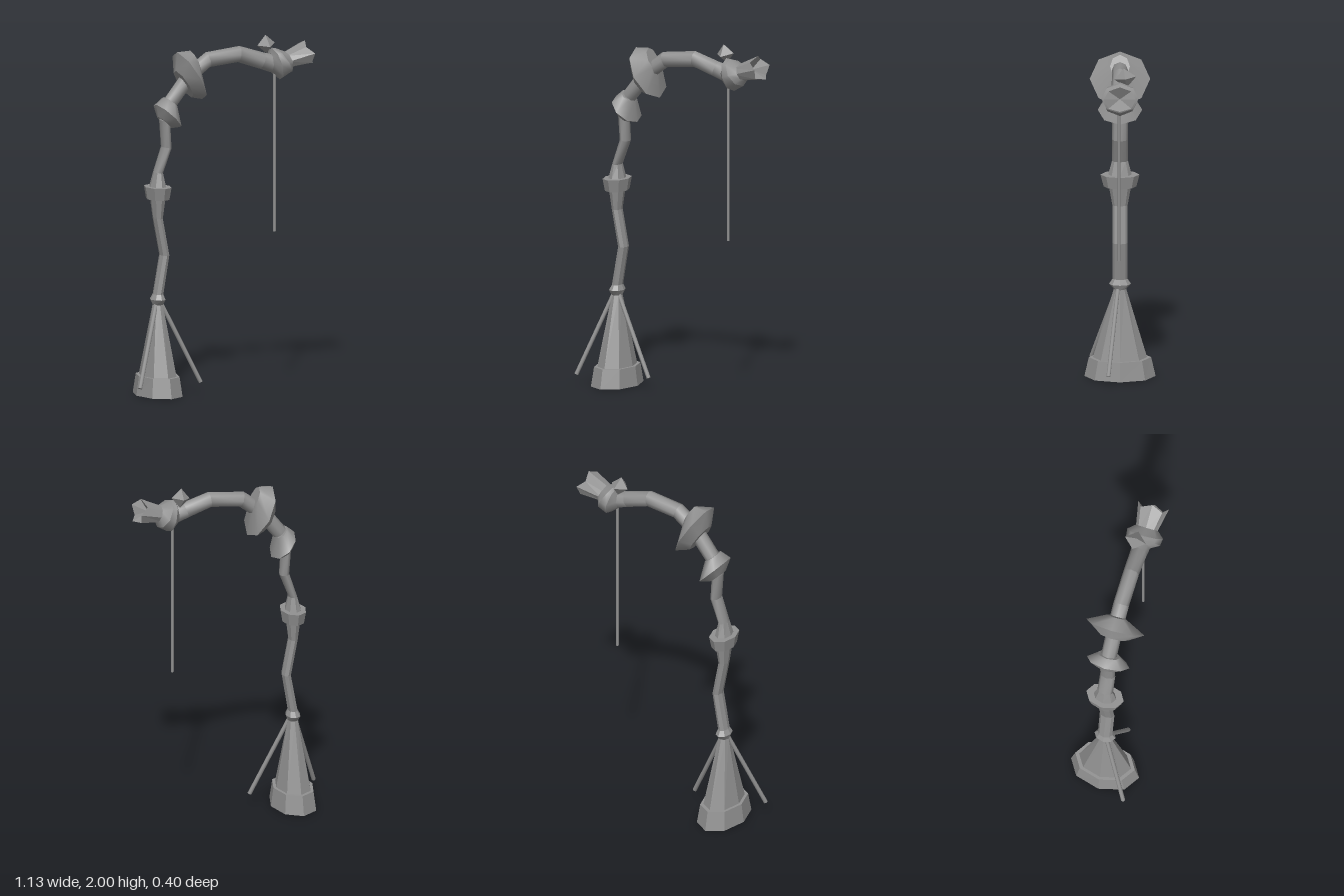
import * as THREE from 'three';

const COLOR = 0x919191;
const flat = new THREE.MeshStandardMaterial({ color: COLOR, flatShading: true, side: THREE.DoubleSide });
const smooth = new THREE.MeshStandardMaterial({ color: COLOR, side: THREE.DoubleSide });
const SIDES = 8;

// Skins eight-sided rings: [x, y, axis angle in degrees, half width in the xy plane, half depth in z].
// shift(ring, side) can push a corner along the ring's axis.
function loft(name, rings, material = flat, shift = () => 0) {
  const pos = [], index = [];
  rings.forEach(([x, y, deg, h, w], i) => {
    const a = THREE.MathUtils.degToRad(deg), c = Math.cos(a), s = Math.sin(a);
    for (let j = 0; j < SIDES; j++) {
      const t = (j / SIDES) * Math.PI * 2, u = h * Math.cos(t), d = shift(i, j);
      pos.push(x + s * u + c * d, y - c * u + s * d, w * Math.sin(t));
      if (i === rings.length - 1) continue;
      const k = (j + 1) % SIDES, p = i * SIDES + j, q = i * SIDES + k;
      index.push(p, p + SIDES, q, q, p + SIDES, q + SIDES);
    }
  });
  const g = new THREE.BufferGeometry();
  g.setAttribute('position', new THREE.Float32BufferAttribute(pos, 3));
  g.setIndex(index);
  g.computeVertexNormals();
  const mesh = new THREE.Mesh(g, material);
  mesh.name = name;
  return mesh;
}

// Smooth around its axis, with a crease at every ring (each ring is doubled)
const roundLoft = (name, rings) => loft(name, rings.flatMap((r) => [r, r]), smooth);

// Straight thin rod between two points
function rod(name, from, to, r) {
  const a = new THREE.Vector3(...from), b = new THREE.Vector3(...to);
  const dir = b.clone().sub(a);
  const mesh = new THREE.Mesh(new THREE.CylinderGeometry(r, r, dir.length(), SIDES), smooth);
  mesh.position.copy(a).add(b).multiplyScalar(0.5);
  mesh.quaternion.setFromUnitVectors(new THREE.Vector3(0, 1, 0), dir.normalize());
  mesh.name = name;
  return mesh;
}

export function createModel() {
  const model = new THREE.Group();
  model.name = 'archedStaff';

  // Hollow flared foot with a stepped rim and a small knot on top
  model.add(loft('flaredBase', [
    [-0.385, 0.11, 90, 0.1, 0.15],
    [-0.385, 0.0, 90, 0.11, 0.172],
    [-0.385, 0.0, 90, 0.13, 0.2],
    [-0.385, 0.11, 90, 0.115, 0.175],
    [-0.385, 0.11, 90, 0.098, 0.152],
    [-0.385, 0.51, 90, 0.03, 0.035],
    [-0.385, 0.54, 90, 0.042, 0.062],
    [-0.383, 0.57, 90, 0.028, 0.042],
  ]));

  // Crooked lower stem, swelling into the collar
  model.add(loft('lowerStem', [
    [-0.383, 0.57, 90, 0.028, 0.042],
    [-0.345, 0.79, 90, 0.026, 0.043],
    [-0.385, 1.0, 90, 0.026, 0.043],
    [-0.385, 1.11, 90, 0.04, 0.062],
  ]));
  model.add(loft('collar', [
    [-0.385, 1.11, 90, 0.04, 0.062],
    [-0.385, 1.11, 90, 0.062, 0.092],
    [-0.385, 1.18, 90, 0.073, 0.11],
    [-0.385, 1.18, 90, 0.045, 0.066],
    [-0.383, 1.26, 86, 0.024, 0.045],
  ]));

  // Upper stem bending into the arched arm
  model.add(roundLoft('archedArm', [
    [-0.383, 1.26, 86, 0.024, 0.045],
    [-0.333, 1.4, 82, 0.028, 0.044],
    [-0.343, 1.55, 78, 0.03, 0.044],
    [-0.31, 1.65, 54, 0.042, 0.045],
    [-0.19, 1.8, 45, 0.045, 0.045],
    [-0.08, 1.882, 18, 0.045, 0.045],
    [0.108, 1.903, -6, 0.046, 0.045],
    [0.25, 1.857, -19, 0.047, 0.048],
    [0.34, 1.83, -15, 0.052, 0.055],
  ]));

  // Beads threaded on the arm
  model.add(roundLoft('smallBead', [
    [-0.343, 1.54, 48, 0, 0],
    [-0.343, 1.54, 48, 0.051, 0.06],
    [-0.325, 1.577, 45, 0.096, 0.125],
    [-0.31, 1.657, 52, 0.045, 0.065],
    [-0.31, 1.657, 52, 0, 0],
  ]));
  model.add(roundLoft('largeBead', [
    [-0.228, 1.752, 31, 0, 0],
    [-0.228, 1.752, 31, 0.091, 0.09],
    [-0.19, 1.798, 29, 0.157, 0.17],
    [-0.158, 1.88, 25, 0.066, 0.056],
    [-0.158, 1.88, 25, 0, 0],
  ]));

  // Ring at the arm's end
  model.add(roundLoft('headRing', [
    [0.3, 1.845, -5, 0.05, 0.05],
    [0.335, 1.835, 15, 0.095, 0.1],
    [0.375, 1.85, 30, 0.085, 0.105],
    [0.415, 1.855, 20, 0.045, 0.06],
    [0.415, 1.855, 20, 0, 0],
  ]));

  // Horn opening into a jagged mouth
  model.add(loft('jaggedHorn', [
    [0.39, 1.85, 12, 0.045, 0.06],
    [0.53, 1.89, 21, 0.069, 0.09],
    [0.47, 1.875, 18, 0, 0],
  ], flat, (i, j) => (i === 1 ? (j % 2 ? -0.02 : 0.008) : 0)));

  // Gem perched on the ring
  const gem = new THREE.Mesh(new THREE.OctahedronGeometry(1), flat);
  gem.scale.set(0.053, 0.055, 0.062);
  gem.position.set(0.288, 1.945, -0.03);
  gem.rotation.set(0.15, 0, 0.12);
  gem.name = 'gem';
  model.add(gem);

  // Hanging rod and two slanted props
  model.add(rod('hangingRod', [0.325, 1.82, 0.005], [0.325, 0.885, 0.005], 0.008));
  model.add(rod('rightProp', [-0.395, 0.53, 0.01], [-0.56, 0.065, 0.16], 0.012));
  model.add(rod('leftProp', [-0.375, 0.53, 0.01], [-0.15, 0.065, 0.065], 0.012));

  return model;
}
